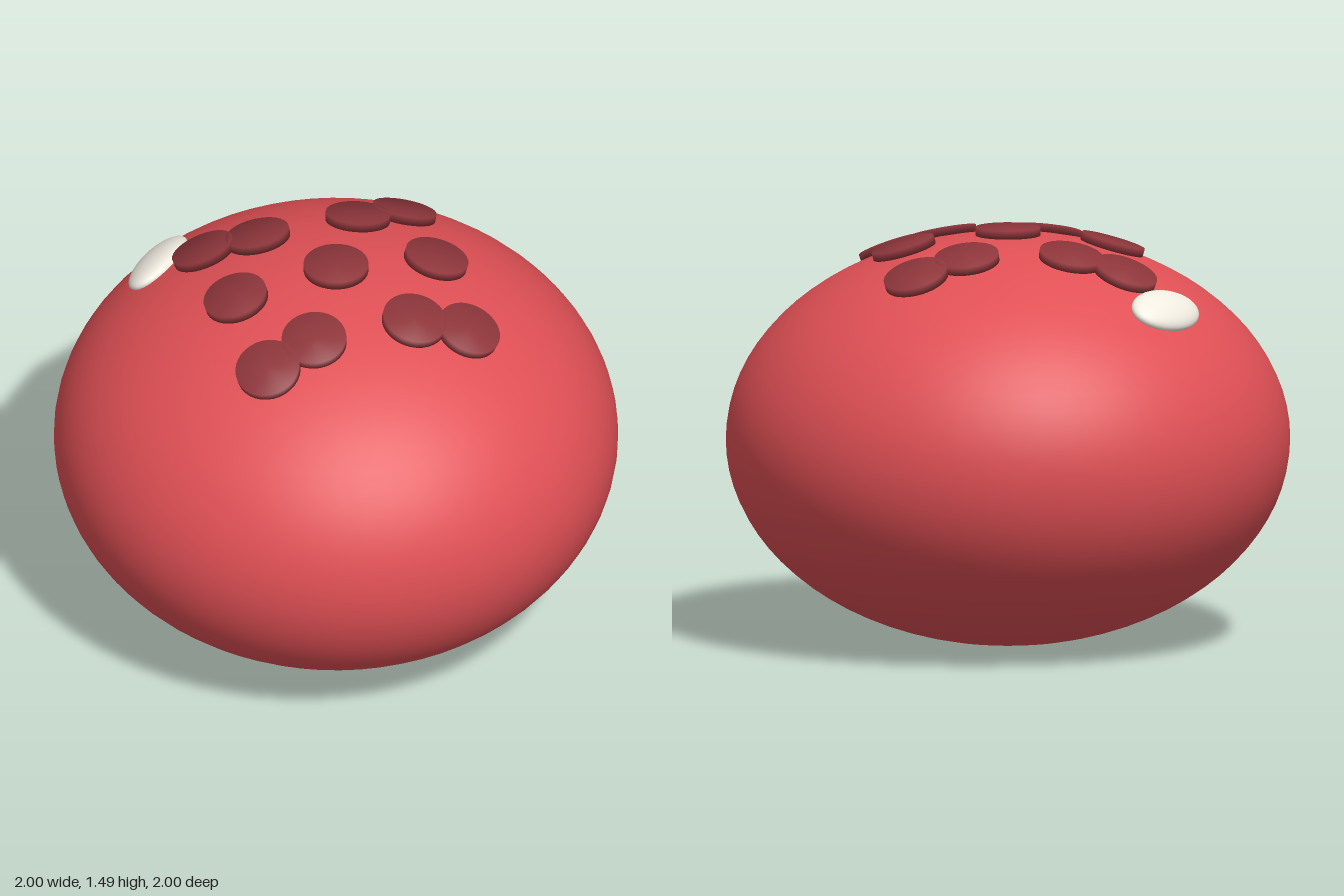
import * as THREE from 'three';
import { mergeVertices } from 'three/addons/utils/BufferGeometryUtils.js';

const HALF_HEIGHT = 0.73;
const CENTRE_Y = 0.733;
const UP = new THREE.Vector3(0, 1, 0);

const paint = (color) => new THREE.MeshStandardMaterial({ color });

// Point and outward normal on the upper body surface above (x, z)
function surfaceAt(x, z) {
  const h = HALF_HEIGHT * Math.sqrt(1 - x * x - z * z);
  return {
    point: new THREE.Vector3(x, CENTRE_Y + h, z),
    normal: new THREE.Vector3(x, h / HALF_HEIGHT ** 2, z).normalize(),
  };
}

// Short cylinder with welded rims, so its shading rolls softly over the edge
function softDisc(radius, height) {
  let g = new THREE.CylinderGeometry(radius, radius, height, 32);
  g.deleteAttribute('uv');
  g.deleteAttribute('normal');
  g = mergeVertices(g, 1e-4);
  g.computeVertexNormals();
  return g;
}

export function createModel() {
  const model = new THREE.Group();
  model.name = 'spottedBody';

  // Squashed round body
  const body = new THREE.Mesh(new THREE.SphereGeometry(1, 64, 40), paint(0xe05055));
  body.name = 'body';
  body.scale.y = HALF_HEIGHT;
  body.position.y = CENTRE_Y;
  model.add(body);

  // Spots: centre, two sides, then four mirrored pairs at the corners
  const spots = [[0, 0], [-0.37, 0], [0.37, 0]];
  for (const sx of [-1, 1]) {
    for (const sz of [-1, 1]) {
      spots.push([sx * 0.37, sz * 0.365], [sx * 0.185, sz * 0.32]);
    }
  }
  const spotGeometry = softDisc(0.115, 0.03);
  const spotMaterial = paint(0x8e363b);
  for (const [x, z] of spots) {
    const { point, normal } = surfaceAt(x, z);
    const spot = new THREE.Mesh(spotGeometry, spotMaterial);
    spot.name = 'spot';
    spot.position.copy(point).addScaledVector(normal, 0.011);
    spot.quaternion.setFromUnitVectors(UP, normal);
    model.add(spot);
  }

  // Pale oval patch lying on the back shoulder
  const { point, normal } = surfaceAt(-0.5, -0.5);
  const along = new THREE.Vector3(1, 0, -1).normalize();
  const across = new THREE.Vector3().crossVectors(along, normal);
  const patch = new THREE.Mesh(new THREE.SphereGeometry(1, 32, 20), paint(0xf0ebe0));
  patch.name = 'palePatch';
  patch.scale.set(0.163, 0.045, 0.098);
  patch.position.copy(point);
  patch.quaternion.setFromRotationMatrix(new THREE.Matrix4().makeBasis(along, normal, across));
  model.add(patch);

  return model;
}
